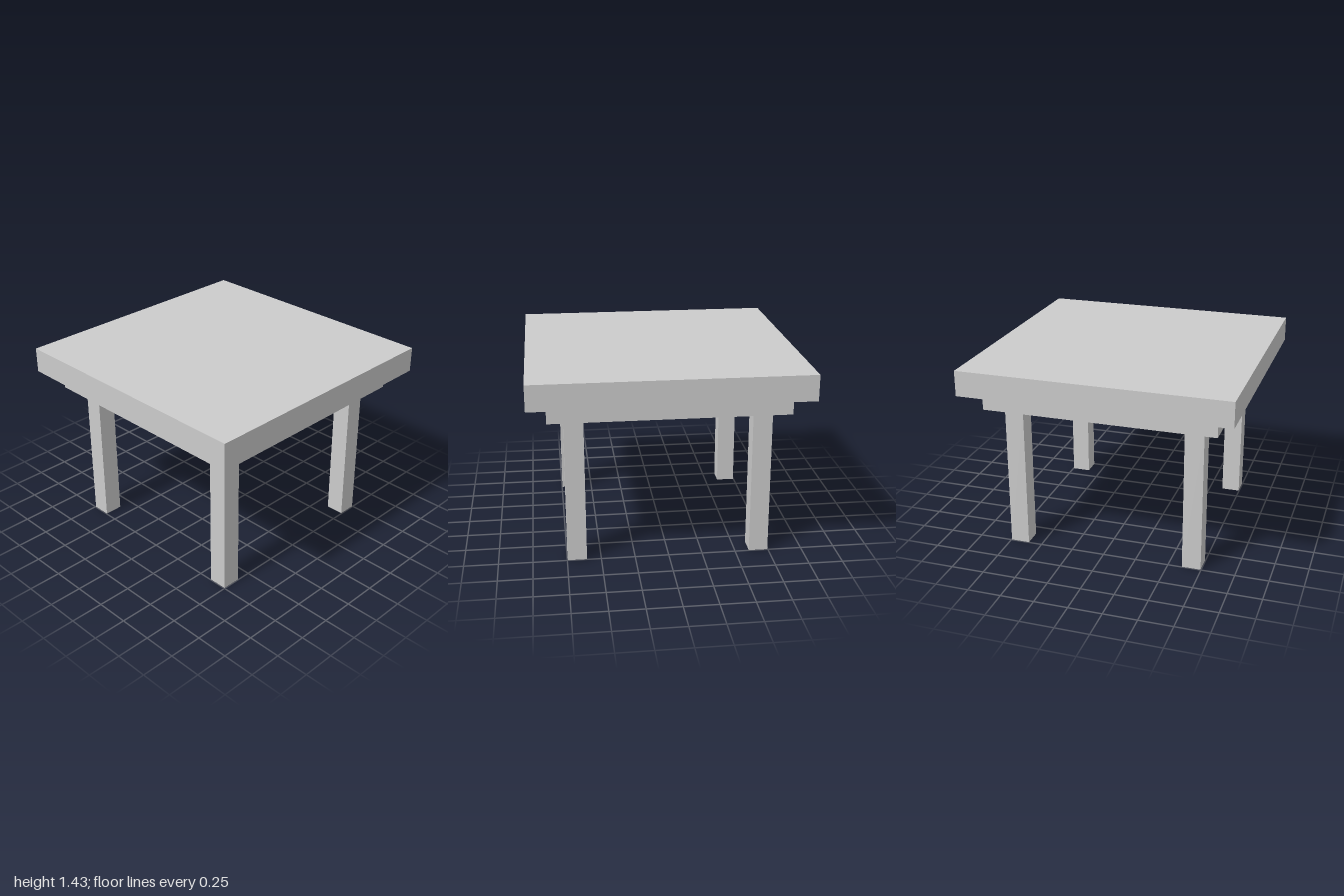
import * as THREE from 'three';

const material = new THREE.MeshStandardMaterial({ color: 0xcccccc });

const LEG_TOP = 1.107, APRON_TOP = 1.245, TABLE_TOP = 1.434;
const APRON_OUTER = 0.863, LEG_OUTER = 0.746, LEG_INNER = 0.605;

// Box standing on height y0 and reaching y1
function slab(name, width, y0, y1, x = 0, z = 0) {
  const mesh = new THREE.Mesh(new THREE.BoxGeometry(width, y1 - y0, width), material);
  mesh.name = name;
  mesh.position.set(x, (y0 + y1) / 2, z);
  return mesh;
}

// Adds a square outline to a path
function square(path, half) {
  path.moveTo(-half, -half);
  path.lineTo(half, -half);
  path.lineTo(half, half);
  path.lineTo(-half, half);
  path.closePath();
  return path;
}

export function createModel() {
  const table = new THREE.Group();
  table.name = 'table';

  // Thick square top
  table.add(slab('tabletop', 2, APRON_TOP, TABLE_TOP));

  // Open frame under the top
  const outline = square(new THREE.Shape(), APRON_OUTER);
  outline.holes.push(square(new THREE.Path(), LEG_INNER));
  const frame = new THREE.ExtrudeGeometry(outline, { depth: APRON_TOP - LEG_TOP, bevelEnabled: false });
  frame.rotateX(-Math.PI / 2);
  const apron = new THREE.Mesh(frame, material);
  apron.name = 'apron';
  apron.position.y = LEG_TOP;
  table.add(apron);

  // Four square legs, flush with the inner corners of the frame
  const legCentre = (LEG_OUTER + LEG_INNER) / 2;
  for (const [end, sz] of [['front', 1], ['back', -1]]) {
    for (const [side, sx] of [['Left', 1], ['Right', -1]]) {
      table.add(slab(`${end}${side}Leg`, LEG_OUTER - LEG_INNER, 0, LEG_TOP, sx * legCentre, sz * legCentre));
    }
  }
  return table;
}
